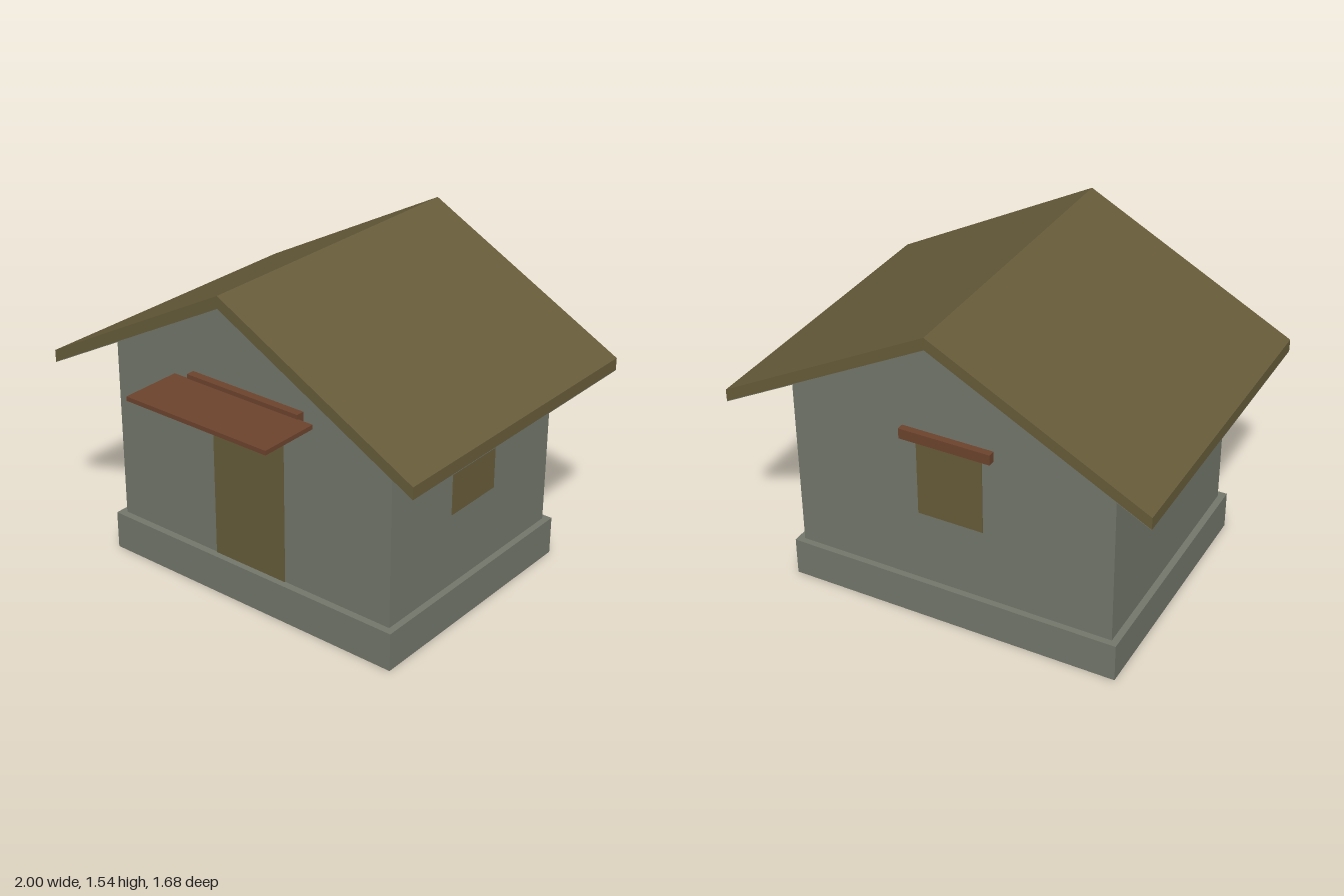
import * as THREE from 'three';

export function createModel() {
  const group = new THREE.Group();
  const make = (name, color) => {
    const m = new THREE.MeshStandardMaterial({ color });
    m.name = name;
    return m;
  };
  const stone = make('greyStone', 0x72766a);
  const thatch = make('oliveBrown', 0x665b39);
  const timber = make('redBrownTimber', 0x6c432d);
  const green = make('darkGreen', 0x25492a);
  green.side = THREE.DoubleSide;

  const add = (name, geometry, material) => {
    const mesh = new THREE.Mesh(geometry, material);
    mesh.name = name;
    group.add(mesh);
    return mesh;
  };
  // Box given by its minimum and maximum corners
  const box = (name, material, x0, x1, y0, y1, z0, z1) => {
    const g = new THREE.BoxGeometry(x1 - x0, y1 - y0, z1 - z0);
    g.translate((x0 + x1) / 2, (y0 + y1) / 2, (z0 + z1) / 2);
    return add(name, g, material);
  };
  // Outline in x and y, extruded from z0 to z1
  const prism = (name, material, points, z0, z1) => {
    const shape = new THREE.Shape(points.map(([x, y]) => new THREE.Vector2(x, y)));
    const g = new THREE.ExtrudeGeometry(shape, { depth: z1 - z0, bevelEnabled: false });
    g.translate(0, 0, z0);
    return add(name, g, material);
  };

  const wallX = 0.773, wallFront = 0.51, wallBack = -0.67;
  const baseX = 0.805, baseFront = 0.545, baseBack = -0.7;
  const baseTop = 0.185, slope = 0.53, ridge = 1.545;

  // Gabled walls; their underside closes the floor
  const eaveY = 1.485 - wallX * slope;
  prism('walls', stone, [
    [-wallX, baseTop - 0.005], [wallX, baseTop - 0.005], [wallX, eaveY], [0, 1.485], [-wallX, eaveY],
  ], wallBack, wallFront);

  // Hollow plinth around the foot of the walls
  const ring = new THREE.Shape([
    new THREE.Vector2(-baseX, -baseFront), new THREE.Vector2(baseX, -baseFront),
    new THREE.Vector2(baseX, -baseBack), new THREE.Vector2(-baseX, -baseBack),
  ]);
  ring.holes.push(new THREE.Path([
    new THREE.Vector2(-wallX, -wallFront), new THREE.Vector2(-wallX, -wallBack),
    new THREE.Vector2(wallX, -wallBack), new THREE.Vector2(wallX, -wallFront),
  ]));
  const plinth = new THREE.ExtrudeGeometry(ring, { depth: baseTop, bevelEnabled: false });
  plinth.rotateX(-Math.PI / 2);
  add('plinth', plinth, stone);

  // Roof slabs with a grey soffit layer beneath
  const chevron = (top, thickness) => [
    [-1, top - slope], [-1, top - slope - thickness], [0, top - thickness],
    [1, top - slope - thickness], [1, top - slope], [0, top],
  ];
  prism('roof', thatch, chevron(ridge, 0.057), -0.84, 0.68);
  prism('roofSoffit', stone, chevron(ridge - 0.057, 0.003), -0.84, 0.68);

  // Door, reaching a little below the floor, with lintel and awning
  box('door', thatch, -0.2, 0.2, 0.09, 0.935, 0.505, 0.514);
  box('doorLintel', timber, -0.31, 0.31, 0.975, 1.055, 0.51, 0.55);
  box('awning', timber, -0.388, 0.388, 1.013, 1.034, 0.545, 0.84);

  // Side windows and their lintels
  for (const s of [-1, 1]) {
    const span = (a, b) => (s > 0 ? [a, b] : [-b, -a]);
    const side = s > 0 ? 'left' : 'right';
    box(side + 'Window', thatch, ...span(wallX - 0.004, wallX + 0.004), 0.54, 0.92, -0.235, 0.08);
    box(side + 'WindowLintel', timber, ...span(0.782, 0.816), 0.93, 0.98, -0.295, 0.14);
  }

  // Back window and lintel
  box('backWindow', thatch, -0.158, 0.158, 0.54, 0.92, wallBack - 0.004, wallBack + 0.004);
  box('backWindowLintel', timber, -0.218, 0.218, 0.93, 0.98, -0.712, -0.679);

  // Hollow corner feet, open at the bottom
  const size = 0.18, height = 0.1;
  for (const x of [-0.685, 0.685]) {
    for (const z of [wallBack + 0.085, wallFront - 0.085]) {
      const foot = new THREE.Group();
      foot.name = 'cornerFoot';
      for (let i = 0; i < 4; i++) {
        const g = new THREE.PlaneGeometry(size, height);
        g.translate(0, 0, size / 2);
        g.rotateY((i * Math.PI) / 2);
        const wall = new THREE.Mesh(g, green);
        wall.name = 'footSide';
        foot.add(wall);
      }
      const cap = new THREE.PlaneGeometry(size, size);
      cap.rotateX(-Math.PI / 2);
      cap.translate(0, height / 2, 0);
      const top = new THREE.Mesh(cap, green);
      top.name = 'footTop';
      foot.add(top);
      foot.position.set(x, 0.06, z);
      group.add(foot);
    }
  }
  return group;
}
